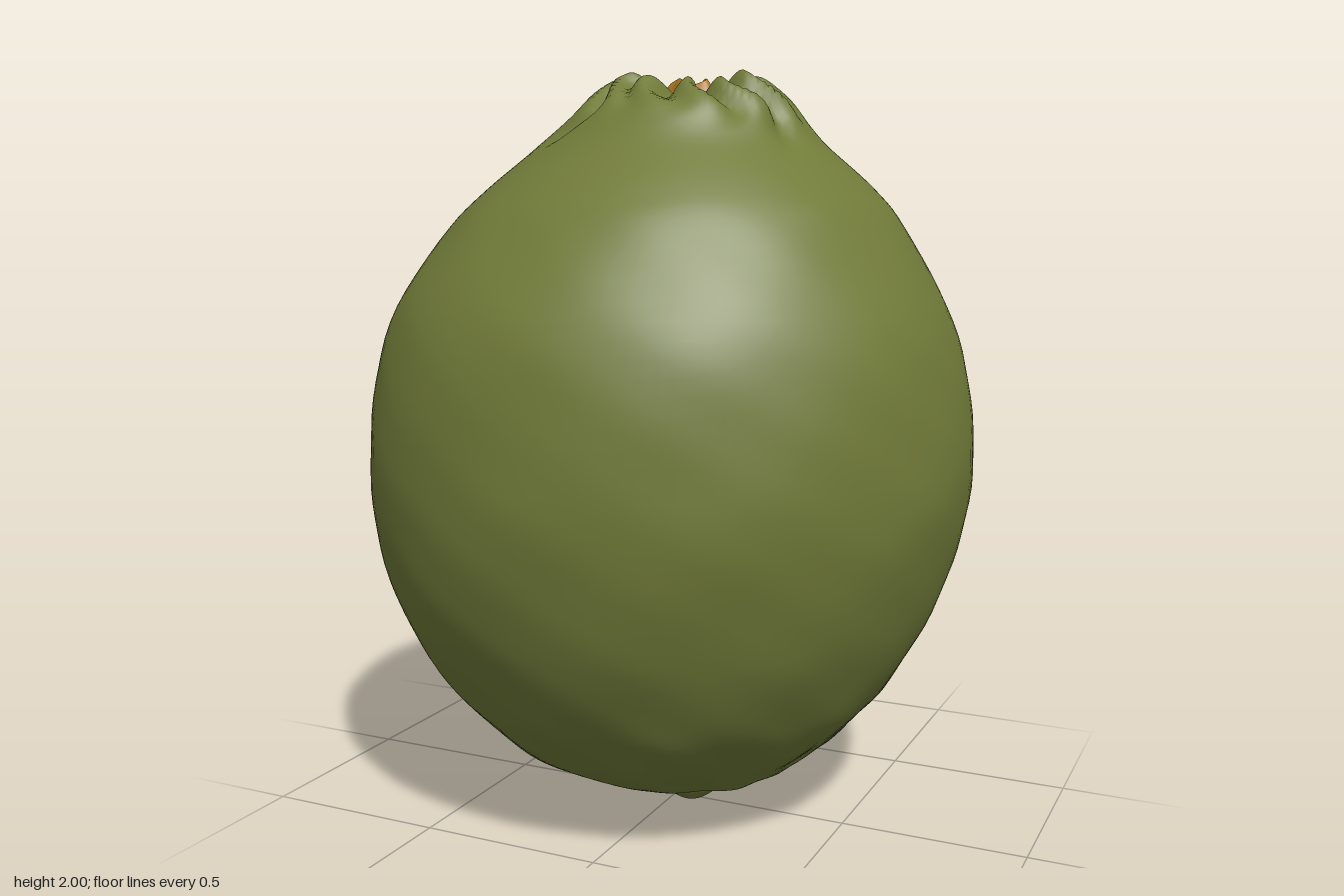
import * as THREE from 'three';

// Outline of the fruit from the bottom tip, over the top rim, into the stem scar: [radius, height]
const PROFILE = [
  [0.001, 0], [0.035, 0.005], [0.075, 0.035], [0.115, 0.075], [0.2, 0.105], [0.33, 0.135],
  [0.45, 0.2], [0.555, 0.3], [0.63, 0.4], [0.73, 0.6], [0.785, 0.8], [0.803, 1], [0.78, 1.2],
  [0.718, 1.4], [0.598, 1.6], [0.51, 1.7], [0.395, 1.8], [0.32, 1.87], [0.25, 1.945],
  [0.18, 1.985], [0.13, 1.965], [0.1, 1.937], [0.072, 1.937], [0.052, 1.967],
  [0.042, 1.975], [0.03, 1.952], [0.001, 1.945],
];

// Axis drift by height: [height, x, z]
const AXIS = [
  [0, 0.05, 0], [0.08, 0.045, 0], [0.2, -0.03, -0.02], [0.6, -0.02, -0.005], [1, -0.003, 0],
  [1.4, 0.005, 0.02], [1.8, 0.025, 0.01], [1.93, 0.055, 0.03], [2.1, 0.06, 0.03],
];

// Creases running out from the stem: [angle, outer reach, depth, half width]
const CREASES = [
  [0.0, 0.36, 0.035, 0.13], [0.38, 0.44, 0.045, 0.12], [0.85, 0.36, 0.05, 0.13],
  [1.35, 0.32, 0.045, 0.16], [1.9, 0.33, 0.04, 0.14], [2.35, 0.42, 0.05, 0.15],
  [3.0, 0.40, 0.045, 0.14], [3.7, 0.40, 0.05, 0.17], [4.45, 0.32, 0.045, 0.15],
  [5.2, 0.33, 0.055, 0.14], [5.65, 0.44, 0.045, 0.12],
];

const SIDES = 128, STEPS = 5;
const smooth = THREE.MathUtils.smoothstep;

function axisAt(y) {
  let i = 0;
  while (i < AXIS.length - 2 && y > AXIS[i + 1][0]) i++;
  const [a, b] = [AXIS[i], AXIS[i + 1]];
  const t = smooth(y, a[0], b[0]);
  return [a[1] + (b[1] - a[1]) * t, a[2] + (b[2] - a[2]) * t];
}

// Depth of the folds around the stem
function foldDepth(r, angle) {
  const bent = angle + 0.12 * Math.sin(r * 22 + 1) + 0.04 * Math.sin(r * 51);
  let depth = 0;
  for (const [a, reach, d, width] of CREASES) {
    const off = Math.atan2(Math.sin(bent - a), Math.cos(bent - a));
    const fade = (1 - smooth(r, reach * 0.55, reach)) * smooth(r, 0.07, 0.17);
    depth = Math.max(depth, d * fade * Math.exp(-((off / width) ** 2)));
  }
  return depth;
}

function skinPoint(p, angle) {
  const { x: r, y } = p;
  const top = y > 1.65;
  // Slightly lopsided cross-section
  const belly = smooth(y, 0.15, 0.7) * (1 - smooth(y, 1.4, 1.85));
  let radius = r * (1 + belly * (-0.016 * Math.sin(2 * angle) + 0.008 * Math.sin(3 * angle + 0.6)));
  let height = y;
  if (top) {
    // Lobes and creases, with a lumpy rim
    const d = foldDepth(r, angle);
    const rim = smooth(r, 0.08, 0.17) * (1 - smooth(r, 0.2, 0.4));
    const lump = 0.012 * Math.sin(3 * angle + 1) + 0.006 * Math.sin(7 * angle);
    height += rim * lump - d;
    radius -= d * 0.55;
    // Uneven stem scar
    const scar = smooth(r, 0.015, 0.04) * (1 - smooth(r, 0.09, 0.15));
    radius += scar * 0.007 * Math.sin(5 * angle + 0.4);
    height += scar * 0.008 * Math.sin(3 * angle + 2);
  } else {
    // Faint dimples, stronger towards the bottom
    const rough = smooth(r, 0.06, 0.3) * (0.0015 + 0.0045 * (1 - smooth(y, 0.1, 0.6)));
    radius += rough * (Math.sin(9 * angle + y * 13) + Math.sin(14 * angle - y * 31 + 2) * 0.7);
    const nub = smooth(r, 0.03, 0.1) * (1 - smooth(r, 0.12, 0.3));
    radius *= 1 + nub * 0.09 * Math.sin(4 * angle + 1);
  }
  const [cx, cz] = axisAt(y);
  return [cx + radius * Math.cos(angle), Math.min(2, height), cz + radius * Math.sin(angle)];
}

export function createModel() {
  const material = (name, color) => new THREE.MeshStandardMaterial({ name, color });
  const materials = [
    material('green peel', 0x717b39),
    material('yellowing peel', 0x8c7a2e),
    material('orange stem scar', 0xae7720),
  ];

  const curve = new THREE.SplineCurve(PROFILE.map(([r, y]) => new THREE.Vector2(r, y)));
  const rows = curve.getPoints((PROFILE.length - 1) * STEPS);
  const positions = [];
  const faces = [[], [], []];

  rows.forEach((p, row) => {
    p.x = Math.max(p.x, 0.001);
    p.y = Math.max(p.y, 0);
    for (let s = 0; s < SIDES; s++) {
      const angle = (s / SIDES) * Math.PI * 2;
      positions.push(...skinPoint(p, angle));
      if (row === rows.length - 1) continue;
      // Ragged colour change around the stem
      const edge = p.x + 0.008 * Math.sin(5 * angle) + 0.005 * Math.sin(11 * angle + 1);
      const scarred = p.y > 1.9;
      const tone = scarred && edge < 0.112 ? 2 : scarred && edge < 0.135 ? 1 : 0;
      const a = row * SIDES + s, b = row * SIDES + ((s + 1) % SIDES);
      faces[tone].push(a, a + SIDES, b, b, a + SIDES, b + SIDES);
    }
  });

  const geometry = new THREE.BufferGeometry();
  geometry.setAttribute('position', new THREE.Float32BufferAttribute(positions, 3));
  geometry.setIndex(faces.flat());
  let start = 0;
  faces.forEach((list, i) => {
    geometry.addGroup(start, list.length, i);
    start += list.length;
  });
  geometry.computeVertexNormals();

  const fruit = new THREE.Mesh(geometry, materials);
  fruit.name = 'fruit';
  const group = new THREE.Group();
  group.name = 'citrusFruit';
  group.add(fruit);
  return group;
}
